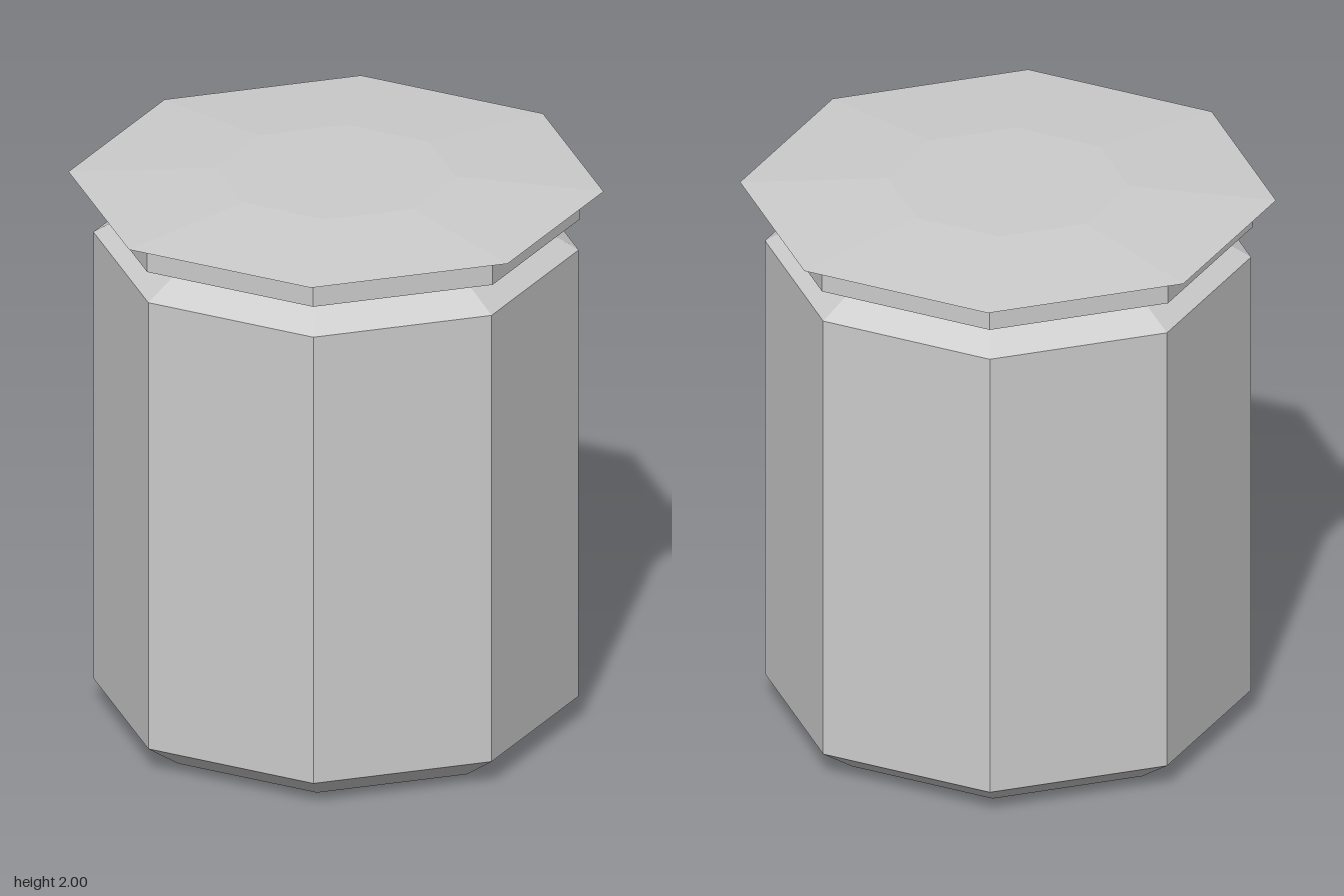
import * as THREE from 'three';

const SIDES = 8;

// Faceted octagonal solid from a bottom-to-top profile of [radius, height]
function turned(name, profile, material) {
  const points = profile.map(([r, y]) => new THREE.Vector2(r, y));
  const mesh = new THREE.Mesh(new THREE.LatheGeometry(points, SIDES), material);
  mesh.name = name;
  return mesh;
}

export function createModel() {
  const grey = new THREE.MeshStandardMaterial({ color: 0xcccccc, flatShading: true });
  grey.name = 'light grey';

  const model = new THREE.Group();
  model.name = 'canister';

  // Body: recessed base, bevelled foot, straight wall, sloping shoulder
  model.add(turned('body', [
    [0, 0.045], [0.49, 0.045], [0.53, 0], [0.7, 0], [0.83, 0.09],
    [0.83, 1.745], [0.68, 1.835],
  ], grey));

  // Collar flaring out from the neck, closed on top
  model.add(turned('collar', [
    [0.68, 1.835], [0.835, 1.86], [0.835, 1.94], [0, 1.94],
  ], grey));

  // Thin lid hovering just above the collar
  model.add(turned('lid', [
    [0, 1.965], [0.915, 1.965], [0.41, 2], [0, 2],
  ], grey));

  return model;
}
